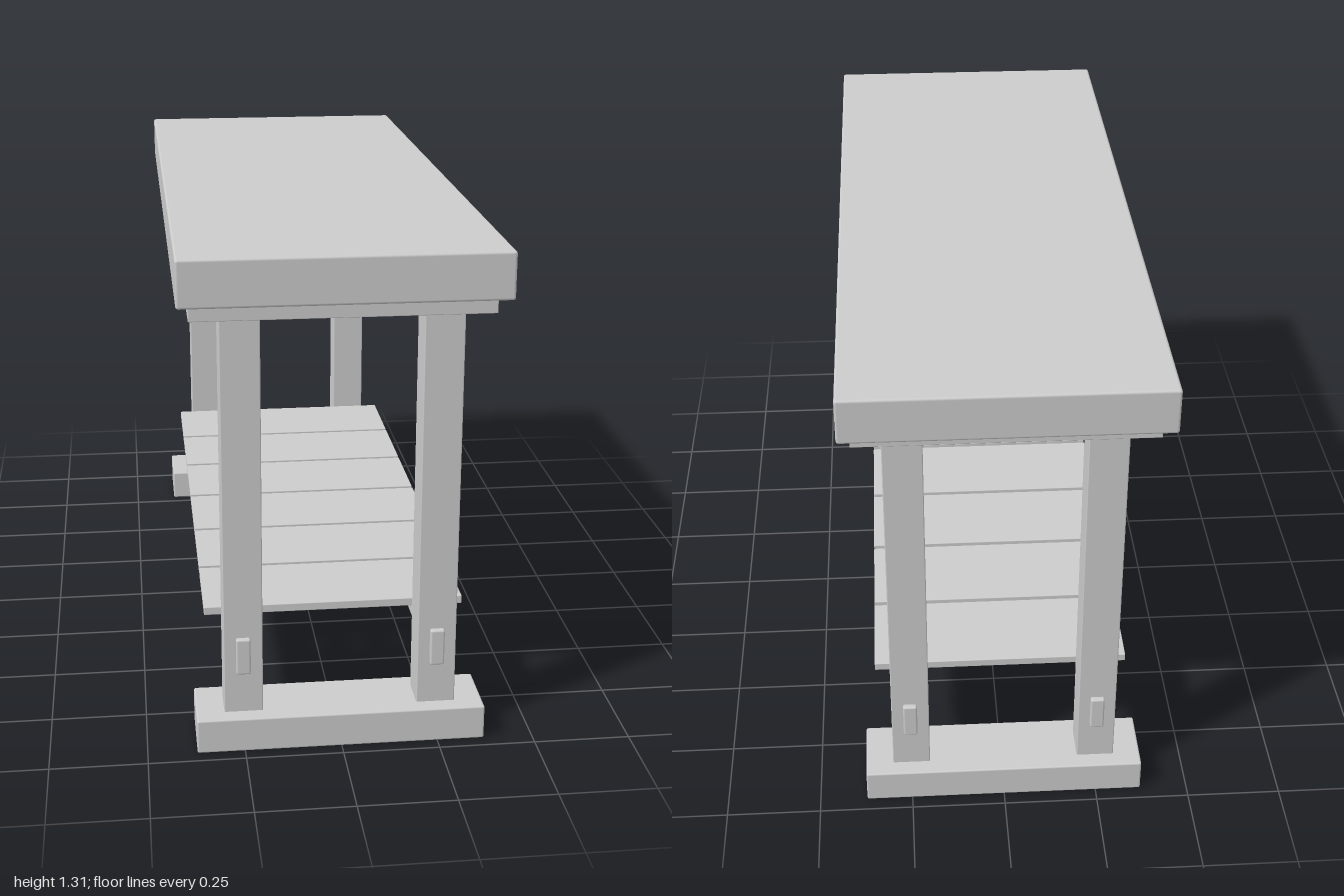
import * as THREE from 'three';
import { RoundedBoxGeometry } from 'three/addons/geometries/RoundedBoxGeometry.js';

const material = new THREE.MeshStandardMaterial({ color: 0xcccccc });

// Softly bevelled timber: size, then centre x / z and its bottom height
function timber(name, [w, h, d], [x, bottom, z], bevel) {
  const mesh = new THREE.Mesh(new RoundedBoxGeometry(w, h, d, 2, bevel), material);
  mesh.name = name;
  mesh.position.set(x, bottom + h / 2, z);
  return mesh;
}

export function createModel() {
  const bench = new THREE.Group();
  bench.name = 'workbench';

  // Thick top slab
  bench.add(timber('topSlab', [0.806, 0.12, 2], [0, 1.19, 0], 0.007));

  // Trestle at each end: foot, two posts and a cleat under the top
  for (const [end, side] of [['front', 1], ['back', -1]]) {
    const trestle = new THREE.Group();
    trestle.name = `${end}Trestle`;
    const z = side * 0.874;
    trestle.add(timber('foot', [0.746, 0.092, 0.182], [0, 0, z], 0.005));
    trestle.add(timber('cleat', [0.746, 0.045, 0.146], [0, 1.145, z], 0.002));
    for (const x of [-0.25, 0.25]) {
      trestle.add(timber('post', [0.1, 1.06, 0.096], [x, 0.088, z], 0.003));
    }
    bench.add(trestle);
  }

  // Long stretchers whose ends pass right through the posts
  for (const [name, x] of [['leftStretcher', 0.25], ['rightStretcher', -0.25]]) {
    bench.add(timber(name, [0.037, 0.098, 1.872], [x, 0.203, 0], 0.005));
  }

  // Lower shelf of spaced slats
  const shelf = new THREE.Group();
  shelf.name = 'shelf';
  const slats = 6, pitch = 0.2625;
  for (let i = 0; i < slats; i++) {
    const z = (i - (slats - 1) / 2) * pitch;
    shelf.add(timber('slat', [0.684, 0.022, 0.249], [0, 0.3, z], 0.002));
  }
  bench.add(shelf);

  return bench;
}
